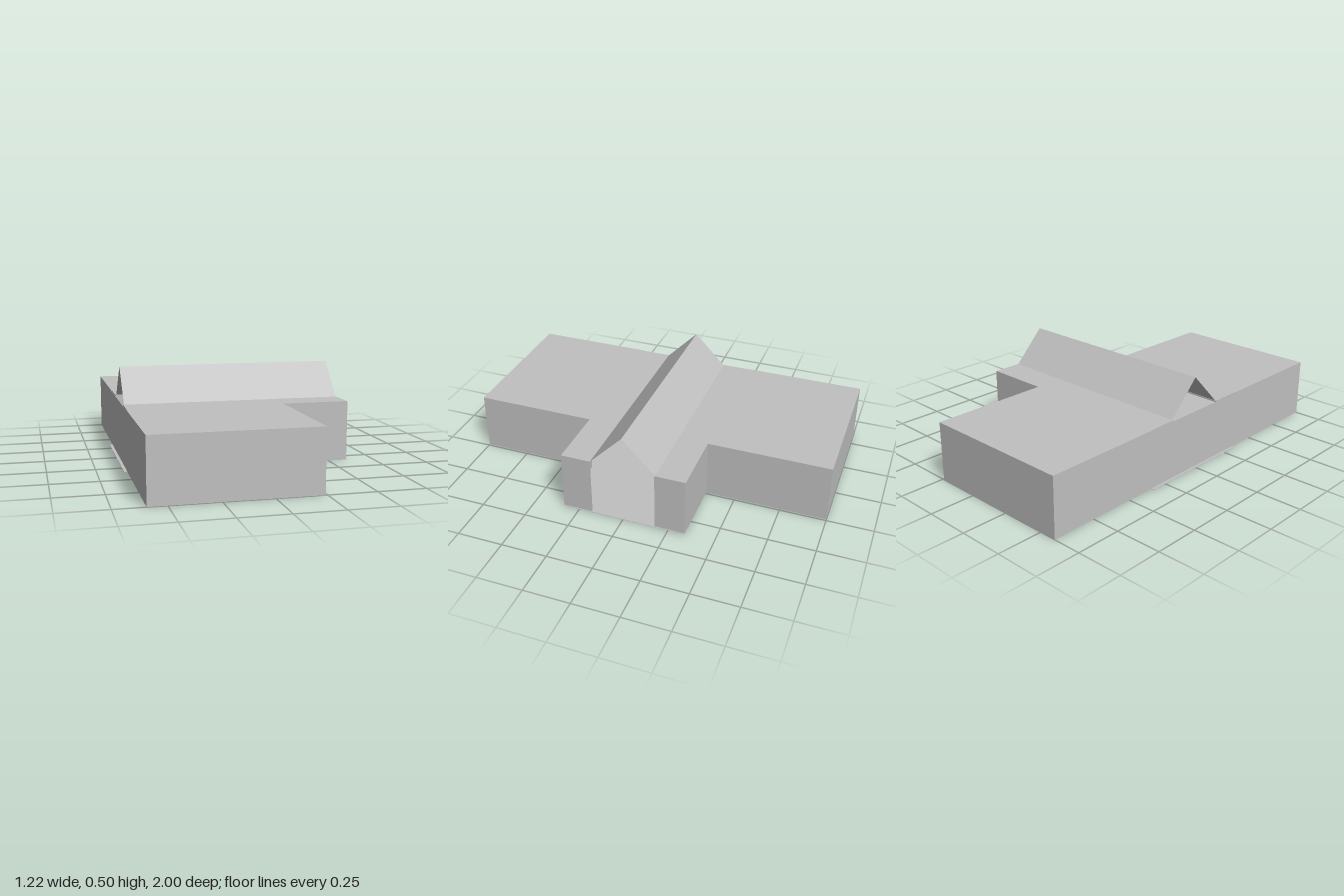
import * as THREE from 'three';

const H = 0.32;                    // wall height
const X0 = -0.595, X1 = 0.24, X2 = 0.603; // outer wall, wing wall, hall end
const Z1 = 0.175, Z2 = 0.34, Z3 = 1;      // hall opening, hall side, wing end

export function createModel() {
  const group = new THREE.Group();
  const plaster = new THREE.MeshStandardMaterial({ color: 0xc0c0c0, side: THREE.DoubleSide });
  plaster.name = 'plain grey';

  const add = (name, geometry, x = 0, y = 0, z = 0) => {
    const mesh = new THREE.Mesh(geometry, plaster);
    mesh.name = name;
    mesh.position.set(x, y, z);
    group.add(mesh);
    return mesh;
  };

  // Upright thin wall between two plan points
  const wall = (name, [ax, az], [bx, bz]) => {
    const length = Math.hypot(bx - ax, bz - az);
    const mesh = add(name, new THREE.PlaneGeometry(length, H), (ax + bx) / 2, H / 2, (az + bz) / 2);
    mesh.rotation.y = -Math.atan2(bz - az, bx - ax);
  };

  // Horizontal slab from plan bounds
  const slab = (name, x0, x1, z0, z1, y0, y1) =>
    add(name, new THREE.BoxGeometry(x1 - x0, y1 - y0, z1 - z0),
      (x0 + x1) / 2, (y0 + y1) / 2, (z0 + z1) / 2);

  // Long closed wall on the far side
  wall('longWall', [X0, Z3], [X0, -Z3]);

  for (const s of [1, -1]) {
    const side = s > 0 ? 'front' : 'back';
    // Walls step in from the wing end to the open hall end
    const plan = [[X0, Z3], [X1, Z3], [X1, Z2], [X2, Z2], [X2, Z1]].map(([x, z]) => [x, z * s]);
    for (let i = 0; i < plan.length - 1; i++) {
      const [a, b] = s > 0 ? [plan[i], plan[i + 1]] : [plan[i + 1], plan[i]];
      wall(side + 'Wall' + (i + 1), a, b);
    }

    // Flat T-shaped roof and wing floor
    const band = (name, x0, x1, za, zb, y0, y1) =>
      slab(side + name, x0, x1, Math.min(za * s, zb * s), Math.max(za * s, zb * s), y0, y1);
    band('WingRoof', X0, X1, Z2, Z3, H - 0.003, H + 0.004);
    band('HallRoof', X0 + 0.003, X2 - 0.003, Z1, Z2, H - 0.003, H + 0.004);
    band('WingFloor', X0, X1, Z2, Z3, 0, 0.002);

    // One slope of the open-ended gable
    const run = 0.178, rise = 0.505 - 0.323;
    const slope = add(side + 'GableSlope',
      new THREE.PlaneGeometry(1.184, Math.hypot(run, rise)), 0.006, 0.323 + rise / 2, s * run / 2);
    slope.rotation.x = -s * Math.atan2(run, rise);
    if (s < 0) slope.rotation.set(Math.atan2(run, rise), Math.PI, 0);
  }

  // Hall floor projecting slightly past both ends
  slab('hallFloor', -0.612, 0.608, -Z2, Z2, 0, 0.002);

  return group;
}
